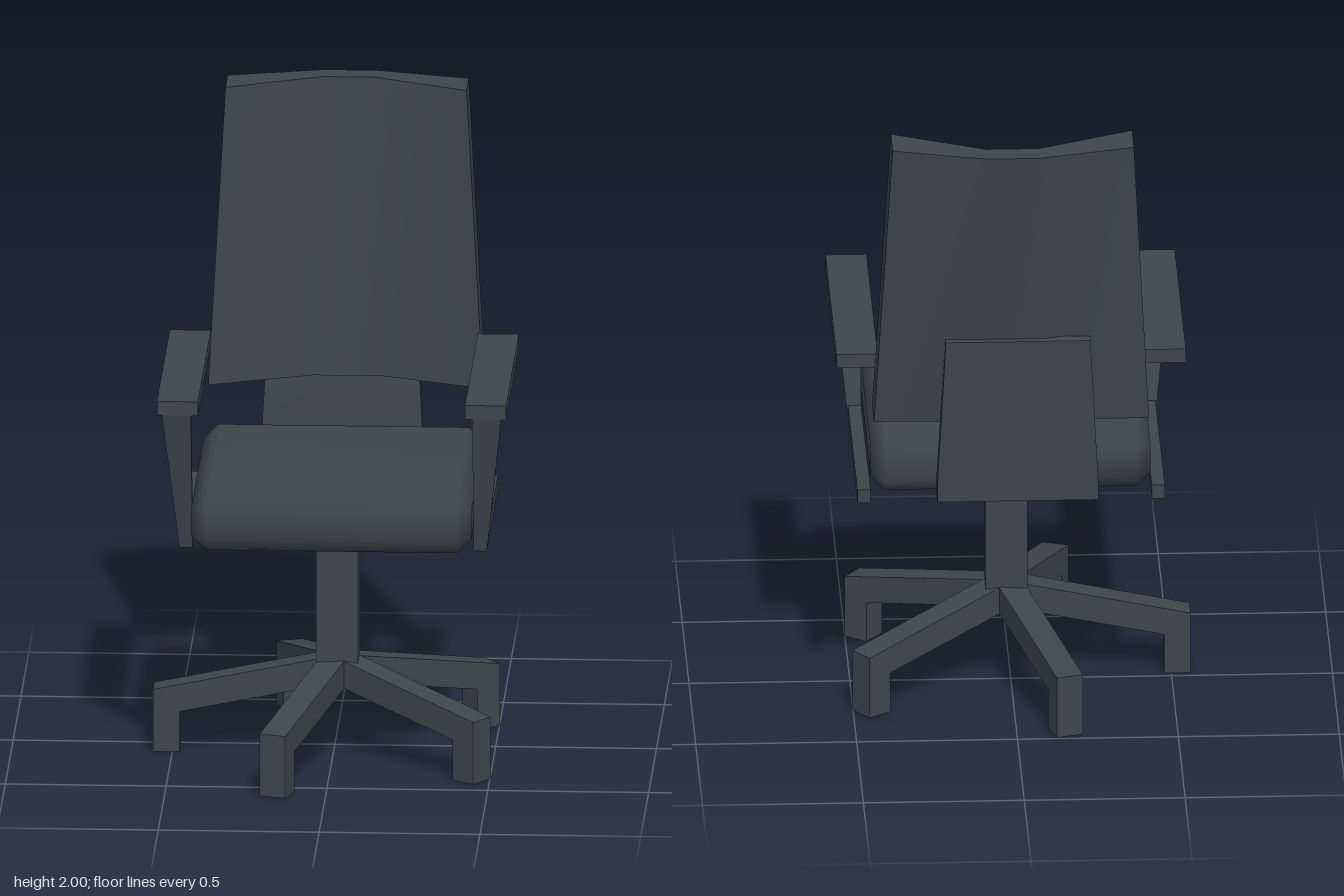
import * as THREE from 'three';
import { toCreasedNormals, mergeVertices } from 'three/addons/utils/BufferGeometryUtils.js';
import { ConvexGeometry } from 'three/addons/geometries/ConvexGeometry.js';

const CX = 0.013; // the chair's own middle line
const HUB_Z = 0.065;

// Solid between stacked levels; each level is [y, ring of [x, z]], rings run front-left, front-right, back
function loft(levels) {
  const pos = [];
  const put = (y, p) => pos.push(p[0], y, p[1]);
  for (let l = 0; l < levels.length - 1; l++) {
    const [y0, a] = levels[l];
    const [y1, b] = levels[l + 1];
    a.forEach((p, i) => {
      const j = (i + 1) % a.length;
      put(y0, p); put(y0, a[j]); put(y1, b[j]);
      put(y0, p); put(y1, b[j]); put(y1, b[i]);
    });
  }
  const cap = ([y, ring], up) => {
    const flat = ring.map(([x, z]) => new THREE.Vector2(x, -z));
    for (const [i, j, k] of THREE.ShapeUtils.triangulateShape(flat, [])) {
      (up ? [i, j, k] : [k, j, i]).forEach((n) => put(y, ring[n]));
    }
  };
  cap(levels[0], false);
  cap(levels[levels.length - 1], true);
  const g = new THREE.BufferGeometry();
  g.setAttribute('position', new THREE.Float32BufferAttribute(pos, 3));
  return toCreasedNormals(g, 0.6);
}

const rect = (x0, x1, zBack, zFront) => [[x0, zFront], [x1, zFront], [x1, zBack], [x0, zBack]];

// Box with all edges cut at 45 degrees and smoothed normals
function cushion(w, h, d, c) {
  const pts = [];
  for (const sx of [-1, 1]) for (const sy of [-1, 1]) for (const sz of [-1, 1]) {
    for (let axis = 0; axis < 3; axis++) {
      const half = [w / 2, h / 2, d / 2].map((v, i) => (i === axis ? v : v - c));
      pts.push(new THREE.Vector3(sx * half[0], sy * half[1], sz * half[2]));
    }
  }
  let g = new ConvexGeometry(pts);
  g.deleteAttribute('normal');
  g = mergeVertices(g, 1e-4);
  g.computeVertexNormals();
  return g;
}

export function createModel() {
  const chair = new THREE.Group();
  chair.name = 'officeChair';
  const charcoal = new THREE.MeshStandardMaterial({ color: 0x40454c });
  charcoal.name = 'charcoal';

  const add = (name, geometry, parent = chair) => {
    const mesh = new THREE.Mesh(geometry, charcoal);
    mesh.name = name;
    parent.add(mesh);
    return mesh;
  };

  // Seat cushion
  add('seat', cushion(0.87, 0.185, 0.87, 0.045)).position.set(CX, 0.8525, 0.095);

  // Backrest: wraps forward at the sides, leans back and narrows towards the top
  add('backrest', loft([
    [1.06, [[-0.41, -0.332], [-0.09, -0.46], [0.125, -0.46], [0.445, -0.332],
      [0.445, -0.47], [0.125, -0.482], [-0.09, -0.482], [-0.41, -0.47]]],
    [2, [[-0.36, -0.408], [-0.065, -0.545], [0.1, -0.545], [0.39, -0.408],
      [0.39, -0.548], [0.1, -0.626], [-0.065, -0.626], [-0.36, -0.548]]],
  ]));

  // Bracket joining seat and backrest
  const flare = [[-0.168, -0.335], [0.178, -0.335], [0.25, -0.461], [0.25, -0.525], [-0.25, -0.525], [-0.25, -0.461]];
  add('bracketFoot', loft([[0.81, flare], [0.875, flare]]));
  add('bracketPlate', loft([
    [0.875, rect(-0.25, 0.25, -0.528, -0.461)],
    [1.29, rect(-0.228, 0.228, -0.548, -0.503)],
    [1.355, rect(-0.225, 0.225, -0.551, -0.512)],
  ]));

  // Armrests with slanted front struts and lower rails
  for (const side of [-1, 1]) {
    const arm = new THREE.Group();
    arm.name = side > 0 ? 'leftArm' : 'rightArm';
    arm.position.x = CX;
    chair.add(arm);
    const span = (inner, outer, zBack, zFront) =>
      rect(Math.min(side * inner, side * outer), Math.max(side * inner, side * outer), zBack, zFront);
    const pad = span(0.415, 0.543, -0.34, 0.477);
    const rail = span(0.437, 0.478, -0.34, 0.36);
    add('armPad', loft([[1.19, pad], [1.235, pad]]), arm);
    add('armRail', loft([[0.735, rail], [0.78, rail]]), arm);
    add('armStrut', loft([
      [0.735, span(0.437, 0.478, 0.34, 0.371)],
      [1.195, span(0.437, 0.528, 0.447, 0.476)],
    ]), arm);
  }

  // Column
  const post = rect(CX - 0.065, CX + 0.065, HUB_Z - 0.065, HUB_Z + 0.065);
  add('column', loft([[0.25, post], [0.78, post]]));

  // Five-legged base
  const base = new THREE.Group();
  base.name = 'base';
  base.position.set(CX, 0, HUB_Z);
  chair.add(base);
  const profile = [[0, 0.318], [0, 0.23], [0.49, 0.13], [0.49, 0], [0.573, 0], [0.573, 0.2]];
  const legGeometry = new THREE.ExtrudeGeometry(
    new THREE.Shape(profile.map(([x, y]) => new THREE.Vector2(x, y))),
    { depth: 0.085, bevelEnabled: false },
  );
  legGeometry.translate(0, 0, -0.0425);
  for (let i = 0; i < 5; i++) {
    add('leg', legGeometry, base).rotation.y = Math.PI + (i * Math.PI * 2) / 5;
  }

  return chair;
}
